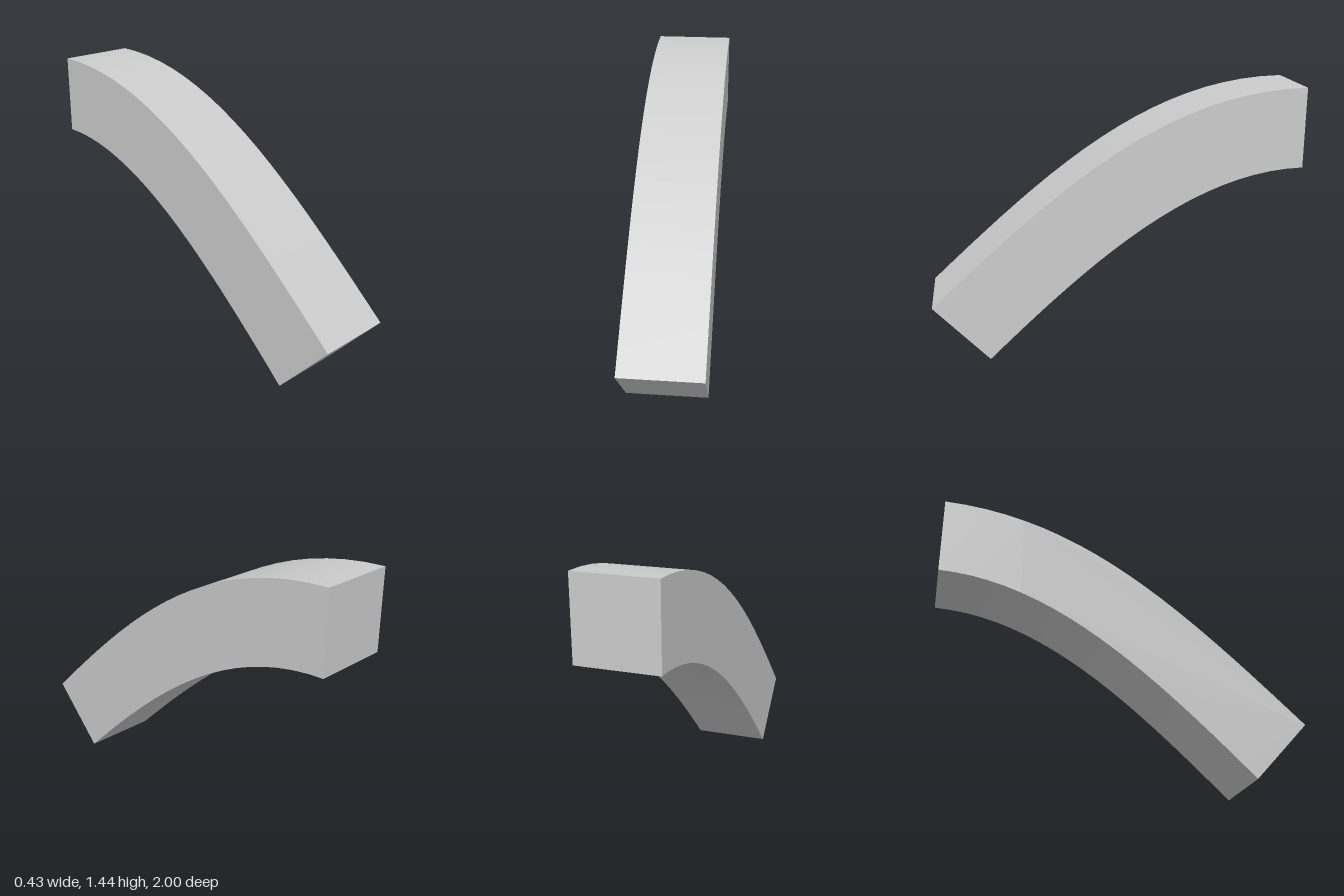
import * as THREE from 'three';

export function createModel() {
  const group = new THREE.Group();
  group.name = 'curvedBeam';
  const width = 0.43;

  // Side profile, drawn as (z, y): lower curve, slanted foot, upper curve, upright back end
  const profile = new THREE.Shape();
  profile.moveTo(-1, 1.01);
  profile.bezierCurveTo(-0.4, 1.01, 0.125, 0.557, 0.705, 0);
  profile.lineTo(1, 0.32);
  profile.bezierCurveTo(0.32, 0.949, -0.24, 1.44, -1, 1.44);
  profile.closePath();

  // Sweep across the width, then turn the profile to run along z
  const geometry = new THREE.ExtrudeGeometry(profile, {
    depth: width, bevelEnabled: false, curveSegments: 20,
  });
  geometry.translate(0, 0, -width / 2);
  geometry.rotateY(-Math.PI / 2);

  const beam = new THREE.Mesh(
    geometry,
    new THREE.MeshStandardMaterial({ color: 0xcccccc, flatShading: true })
  );
  beam.name = 'beam';
  group.add(beam);
  return group;
}
